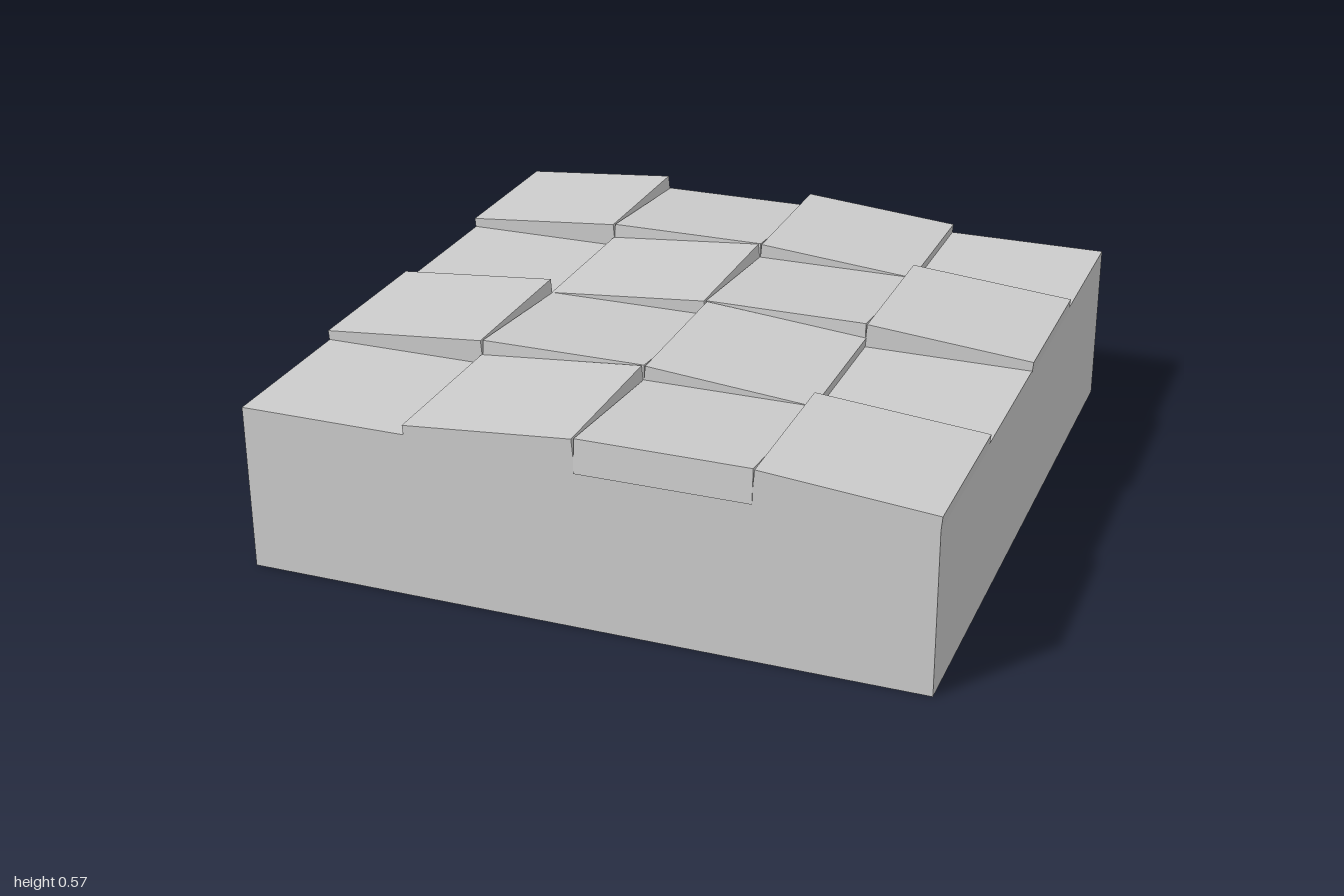
import * as THREE from 'three';

const material = new THREE.MeshStandardMaterial({ color: 0xcccccc, flatShading: true });
const CELL = 0.5;
const TILT = THREE.MathUtils.degToRad(5);

// One symbol per cell, back row first:
// R rises to the right (+x), L rises to -x, F rises to the front, . is bare slab
const LAYOUT = [
  'RFL.',
  '.RFL',
  'RFL.',
  '.RFL',
];

export function createModel() {
  const group = new THREE.Group();
  group.name = 'tiledBlock';

  // Solid slab
  const slab = new THREE.Mesh(new THREE.BoxGeometry(2, 0.5, 2), material);
  slab.name = 'slab';
  slab.position.y = 0.25;
  group.add(slab);

  // Tilted tiles half sunk into the slab
  const tileGeometry = new THREE.BoxGeometry(CELL, 0.1, CELL);
  const tiles = new THREE.Group();
  tiles.name = 'tiles';
  LAYOUT.forEach((row, r) => {
    [...row].forEach((kind, c) => {
      if (kind === '.') return;
      const tile = new THREE.Mesh(tileGeometry, material);
      tile.name = `tile_row${r + 1}_column${c + 1}`;
      tile.position.set((c - 1.5) * CELL, 0.5, (r - 1.5) * CELL);
      if (kind === 'F') tile.rotation.x = -TILT;
      else tile.rotation.z = kind === 'R' ? TILT : -TILT;
      tiles.add(tile);
    });
  });
  group.add(tiles);

  return group;
}
